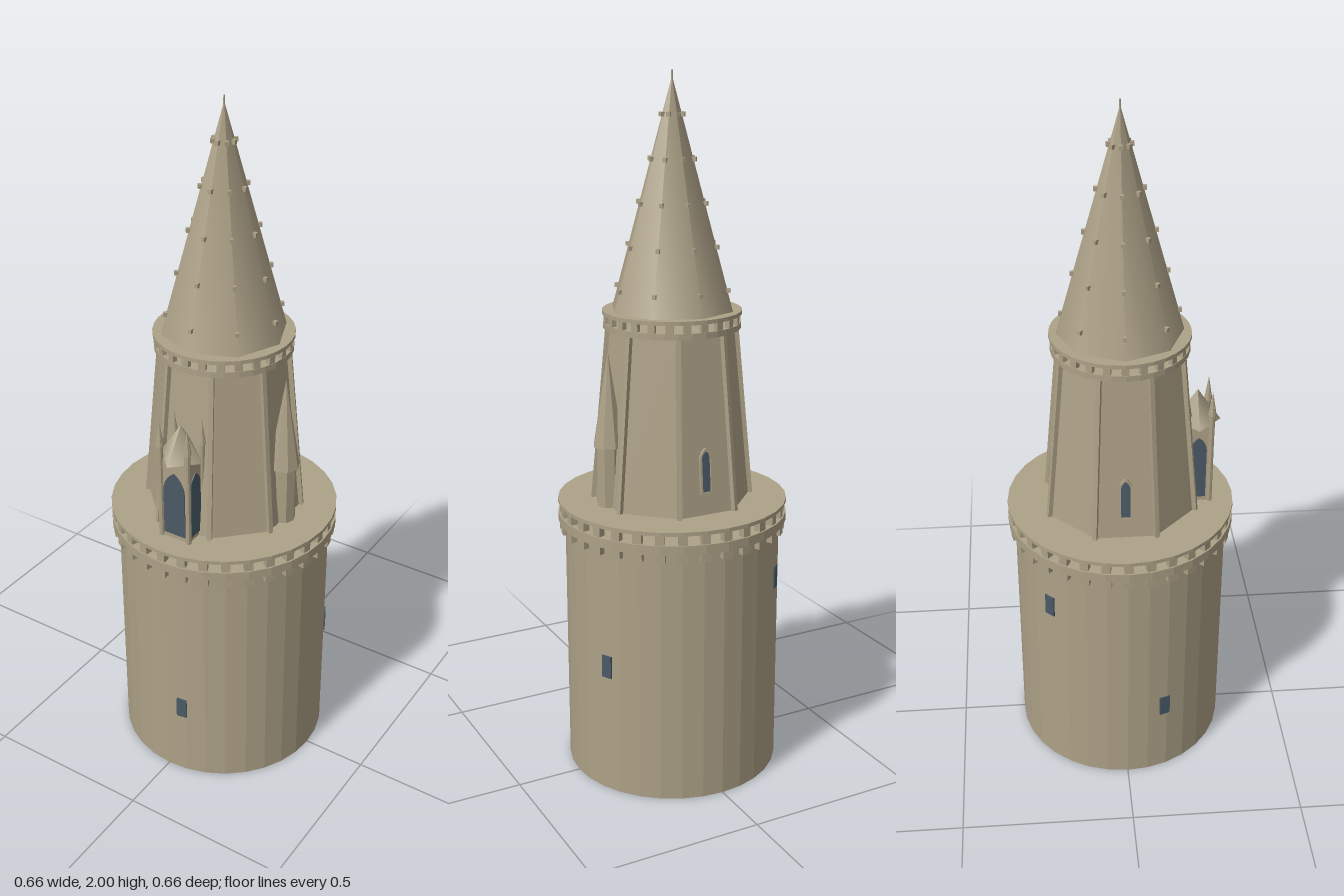
import * as THREE from 'three';
import { toCreasedNormals } from 'three/addons/utils/BufferGeometryUtils.js';

export function createModel() {
  const model = new THREE.Group();
  const stone = new THREE.MeshStandardMaterial({ color: 0xada187 });
  stone.name = 'stone';
  const glass = new THREE.MeshStandardMaterial({ color: 0x4a5a66 });
  glass.name = 'glass';

  const add = (name, geo, x = 0, y = 0, z = 0, mat = stone, parent = model) => {
    const m = new THREE.Mesh(geo, mat);
    m.name = name;
    m.position.set(x, y, z);
    parent.add(m);
    return m;
  };
  // faceted cylinder standing between two heights
  const drum = (name, rTop, rBottom, y0, y1, sides, x = 0, z = 0, turn = 0) => {
    const g = new THREE.CylinderGeometry(rTop, rBottom, y1 - y0, sides).rotateY(turn);
    return add(name, toCreasedNormals(g, 0.1), x, (y0 + y1) / 2, z);
  };
  // boxes set round a circle, facing outward
  const ringOfBoxes = (name, count, r, y, w, h, d) => {
    const geo = new THREE.BoxGeometry(w, h, d);
    for (let i = 0; i < count; i++) {
      const a = (i / count) * Math.PI * 2;
      add(name, geo, Math.sin(a) * r, y, Math.cos(a) * r).rotation.y = a;
    }
  };
  // pointed arch outline standing on y = 0
  const trace = (p, w, h) => {
    const s = h - w * 0.9;
    p.moveTo(-w / 2, 0);
    p.lineTo(w / 2, 0);
    p.lineTo(w / 2, s);
    p.quadraticCurveTo(w / 2, s + w * 0.55, 0, h);
    p.quadraticCurveTo(-w / 2, s + w * 0.55, -w / 2, s);
    p.closePath();
    return p;
  };
  const extrude = (shape, depth) =>
    new THREE.ExtrudeGeometry(shape, { depth, bevelEnabled: false, curveSegments: 5 });

  // main drum, cornice and gallery
  drum('mainDrum', 0.31, 0.31, 0, 0.746, 32);
  ringOfBoxes('corniceDentil', 32, 0.315, 0.734, 0.03, 0.026, 0.022);
  drum('galleryFloor', 0.33, 0.33, 0.745, 0.772, 32);
  ringOfBoxes('galleryBaluster', 32, 0.315, 0.786, 0.025, 0.032, 0.02);
  drum('galleryCap', 0.33, 0.33, 0.8, 0.811, 32);

  // narrow slits in the drum: angle from the front, height
  for (const [deg, y] of [[9, 0.243], [-69, 0.243], [116, 0.383], [-135, 0.59]]) {
    const a = (deg * Math.PI) / 180;
    const slit = add('drumWindow', new THREE.BoxGeometry(0.032, 0.066, 0.008),
      Math.sin(a) * 0.309, y, Math.cos(a) * 0.309, glass);
    slit.rotation.y = a;
  }

  // tapering eight-sided tower with corner ribs
  const y0 = 0.81, y1 = 1.306, rLow = 0.224, rHigh = 0.177;
  drum('upperTower', rHigh, rLow, y0 - 0.002, y1, 8, 0, 0, Math.PI / 8);
  const lean = Math.atan2(rLow - rHigh, y1 - y0);
  const ribGeo = new THREE.BoxGeometry(0.013, Math.hypot(y1 - y0, rLow - rHigh), 0.02);
  for (let i = 0; i < 8; i++) {
    const pivot = new THREE.Group();
    pivot.name = 'ribPivot';
    pivot.rotation.y = ((i + 0.5) * Math.PI) / 4;
    model.add(pivot);
    add('cornerRib', ribGeo, 0, (y0 + y1) / 2, (rLow + rHigh) / 2, stone, pivot).rotation.x = -lean;
  }

  // arched windows on the back and -x faces
  const faceLean = Math.atan2((rLow - rHigh) * Math.cos(Math.PI / 8), y1 - y0);
  for (const a of [Math.PI, -Math.PI / 2]) {
    const pivot = new THREE.Group();
    pivot.name = 'archedWindow';
    pivot.rotation.y = a;
    model.add(pivot);
    const frame = trace(new THREE.Shape(), 0.038, 0.13);
    const hole = new THREE.Path();
    trace(hole, 0.026, 0.116);
    frame.holes.push(new THREE.Path(hole.getPoints(5).map(p => p.add(new THREE.Vector2(0, 0.006)))));
    const zFace = (rLow - ((rLow - rHigh) * 0.06) / (y1 - y0)) * Math.cos(Math.PI / 8);
    add('windowFrame', extrude(frame, 0.012), 0, 0.87, zFace - 0.004, stone, pivot).rotation.x = -faceLean;
    add('windowPane', extrude(trace(new THREE.Shape(), 0.028, 0.12), 0.006), 0, 0.872, zFace - 0.003, glass, pivot)
      .rotation.x = -faceLean;
  }

  // front oriel with corner posts, pinnacles and pyramid roof
  const ox = 0.004;
  add('orielBody', new THREE.BoxGeometry(0.09, 0.25, 0.1), ox, 0.935, 0.207);
  for (const sx of [-1, 1]) {
    for (const z of [0.257, 0.187]) {
      const x = ox + sx * 0.045;
      drum('orielPost', 0.008, 0.008, 0.81, 1.06, 8, x, z);
      drum('pinnacleShaft', 0.009, 0.009, 1.06, 1.105, 8, x, z);
      drum('pinnacleTip', 0, 0.012, 1.1, 1.175, 8, x, z);
    }
    const side = add('orielSideWindow', extrude(trace(new THREE.Shape(), 0.046, 0.2), 0.005),
      ox + sx * 0.043, 0.825, 0.222, glass);
    side.rotation.y = (sx * Math.PI) / 2;
  }
  add('orielWindow', extrude(trace(new THREE.Shape(), 0.07, 0.2), 0.005), ox, 0.825, 0.2545, glass);
  add('orielRoof', new THREE.ConeGeometry(0.068, 0.1, 4), ox, 1.11, 0.22);

  // side turret
  drum('turretShaft', 0.036, 0.036, 0.81, 0.99, 8, 0.2, 0);
  drum('turretRoof', 0, 0.045, 0.985, 1.255, 8, 0.2, 0);

  // upper gallery
  drum('upperGalleryFloor', 0.193, 0.193, 1.305, 1.322, 32);
  ringOfBoxes('upperBaluster', 24, 0.184, 1.334, 0.02, 0.028, 0.014);
  drum('upperGalleryCap', 0.196, 0.196, 1.345, 1.356, 32);

  // spire with ridge knobs and finial
  const base = 1.355, apex = 1.985, rSpire = 0.176;
  add('spire', new THREE.ConeGeometry(rSpire, apex - base, 8), 0, (base + apex) / 2, 0);
  for (let i = 0; i < 5; i++) {
    const y = 1.415 + i * 0.1175;
    ringOfBoxes('ridgeKnob', 8, (rSpire * (apex - y)) / (apex - base) + 0.002, y, 0.01, 0.012, 0.012);
  }
  drum('finial', 0.002, 0.003, 1.96, 2, 6);

  return model;
}
